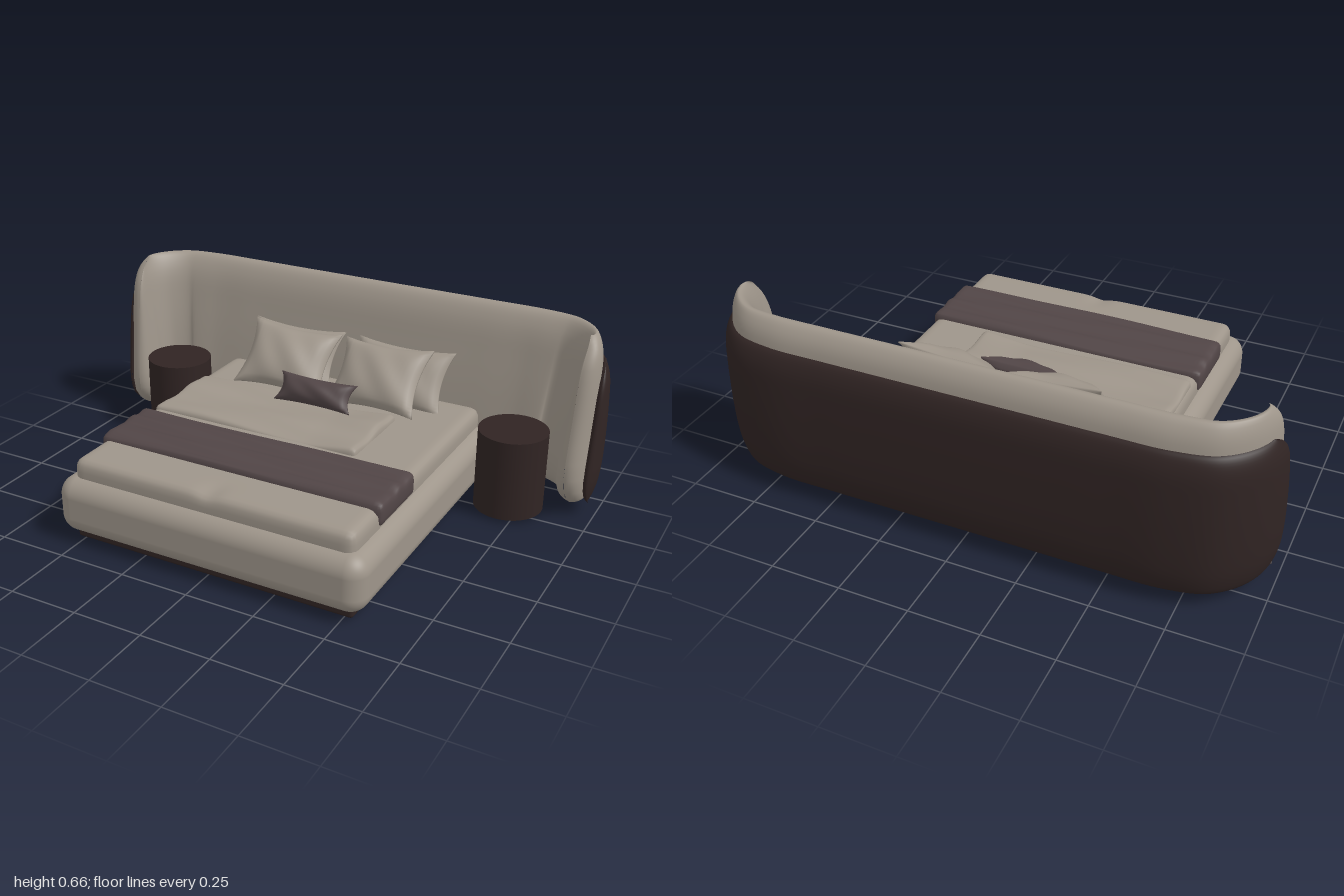
import * as THREE from 'three';
import { mergeVertices } from 'three/addons/utils/BufferGeometryUtils.js';
import { RoundedBoxGeometry } from 'three/addons/geometries/RoundedBoxGeometry.js';

const material = (name, color, side = THREE.FrontSide) => {
  const m = new THREE.MeshStandardMaterial({ color, side });
  m.name = name;
  return m;
};

// Weld coincident vertices so the whole surface shades smoothly
function smooth(geometry) {
  geometry.deleteAttribute('uv');
  geometry.deleteAttribute('normal');
  const g = mergeVertices(geometry, 1e-5);
  g.computeVertexNormals();
  return g;
}

// Rounded cushion-like slab whose upper surface follows a wrinkle rule
function softSlab(w, h, d, r, wrinkle) {
  const g = new THREE.BoxGeometry(w, h, d, 64, 6, 48);
  const p = g.attributes.position;
  const v = new THREE.Vector3(), core = new THREE.Vector3();
  const lim = new THREE.Vector3(w / 2 - r, h / 2 - r, d / 2 - r);
  for (let i = 0; i < p.count; i++) {
    v.fromBufferAttribute(p, i);
    core.copy(v).clamp(lim.clone().negate(), lim);
    v.sub(core).setLength(r).add(core);
    if (v.y > 0) v.y += wrinkle(v.x, v.z) * (v.y / (h / 2));
    p.setXYZ(i, v.x, v.y, v.z);
  }
  return smooth(g);
}

// Inflated pillow with hollow edges and pointed corners
function pillowGeometry(w, h, puff) {
  const g = new THREE.BoxGeometry(2, 2, 2, 20, 20, 1);
  const p = g.attributes.position;
  for (let i = 0; i < p.count; i++) {
    const u = p.getX(i), v = p.getY(i), a = 1 - u * u, b = 1 - v * v;
    const crease = 1 + 0.07 * Math.sin(7 * u + 4 * v);
    p.setXYZ(i,
      u * (1 - 0.13 * b) * w / 2,
      v * (1 - 0.13 * a) * h / 2,
      p.getZ(i) * (0.003 + puff * Math.pow(Math.max(a * b, 0), 0.55) * crease));
  }
  return smooth(g);
}

// Plan line of the headboard's back, from one wing tip to the other
const halfPlan = [[0.3, -0.675], [0.5, -0.675], [0.7, -0.671], [0.85, -0.632], [0.955, -0.53], [1, -0.4], [0.985, -0.25]];
const plan = new THREE.CatmullRomCurve3([
  ...halfPlan.map(([x, z]) => new THREE.Vector3(-x, 0, z)).reverse(),
  new THREE.Vector3(0, 0, -0.675),
  ...halfPlan.map(([x, z]) => new THREE.Vector3(x, 0, z)),
]);
plan.arcLengthDivisions = 600;

// Sweep a closed (depth, height) section along the plan line with rounded, slanted wing ends
function wrap(section, { inset, slant, round, arm }) {
  const loop = new THREE.CatmullRomCurve3(section.map(([d, y]) => new THREE.Vector3(d, y, 0)), true, 'centripetal')
    .getPoints(56).slice(0, -1);
  const ys = loop.map(q => q.y), ds = loop.map(q => q.x);
  const y0 = Math.min(...ys), y1 = Math.max(...ys), d0 = Math.min(...ds);
  const mid = (Math.max(...ds) - d0) * arm / 2 + d0;
  const half = plan.getLength() / 2, N = 110, M = loop.length;
  const pos = [], idx = [];
  for (let i = 0; i <= N; i++) {
    const u = Math.sin((i / N - 0.5) * Math.PI), k = Math.abs(u);
    const thin = 1 - (1 - arm) * THREE.MathUtils.smoothstep(k, 0.55, 1);
    const cap = Math.sqrt(Math.max(0, 1 - Math.pow(k, 36)));
    for (const q of loop) {
      const v = (q.y - y0) / (y1 - y0);
      const cut = inset + slant * v + round * Math.pow(Math.abs(2 * v - 1), 6);
      const t = THREE.MathUtils.clamp(0.5 + 0.5 * u * (1 - cut / half), 0, 1);
      const c = plan.getPointAt(t), T = plan.getTangentAt(t);
      const d = mid + (d0 + (q.x - d0) * thin - mid) * cap;
      pos.push(c.x - T.z * d, q.y, c.z + T.x * d);
    }
  }
  for (let i = 0; i < N; i++) for (let j = 0; j < M; j++) {
    const a = i * M + j, c = i * M + (j + 1) % M;
    idx.push(a, c, a + M, c, c + M, a + M);
  }
  const g = new THREE.BufferGeometry();
  g.setAttribute('position', new THREE.Float32BufferAttribute(pos, 3));
  g.setIndex(idx);
  return smooth(g);
}

export function createModel() {
  const group = new THREE.Group();
  const fabric = material('warm grey fabric', 0x9e958a);
  const dark = material('dark brown leather', 0x302423);
  const plum = material('plum brown cloth', 0x514546);
  const add = (name, geometry, mat, x = 0, y = 0, z = 0, rx = 0, ry = 0) => {
    const m = new THREE.Mesh(geometry, mat);
    m.name = name;
    m.position.set(x, y, z);
    m.rotation.set(rx, ry, 0);
    group.add(m);
    return m;
  };

  // Base, upholstered frame and mattress
  add('plinth', new RoundedBoxGeometry(1.06, 0.05, 1.09, 3, 0.012), dark, 0, 0.025, 0.075);
  add('bedFrame', new RoundedBoxGeometry(1.16, 0.205, 1.12, 8, 0.065), fabric, 0, 0.1325, 0.11);
  add('mattress', softSlab(1.06, 0.13, 1.06, 0.035, (x, z) =>
    -0.012 * Math.exp(-(x * x) / 0.0015) * THREE.MathUtils.smoothstep(z, 0.4, 0.53)), fabric, 0, 0.235, 0.09);

  // Rumpled cover and runner across the bed
  add('bedCover', softSlab(0.82, 0.05, 0.34, 0.018, (x, z) =>
    0.005 * Math.sin(22 * z + 7 * x) + 0.003 * Math.sin(41 * z - 9 * x)
    + 0.012 * THREE.MathUtils.smoothstep(x, 0.2, 0.4)), fabric, -0.11, 0.286, -0.02);
  add('bedRunner', softSlab(1.08, 0.085, 0.27, 0.025, (x, z) =>
    0.0035 * Math.sin(60 * z + 5 * x) + 0.002 * Math.sin(95 * z - 8 * x + 1)), plum, 0, 0.277, 0.315);

  // Headboard: padded inside and leather shell around the back
  add('headboardPadding', wrap([
    [0.04, 0.07], [0.035, 0.3], [0.037, 0.55], [0.052, 0.625], [0.085, 0.663], [0.115, 0.655],
    [0.15, 0.6], [0.18, 0.48], [0.215, 0.3], [0.235, 0.14], [0.22, 0.065], [0.17, 0.045], [0.08, 0.045],
  ], { inset: 0, slant: 0.08, round: 0.1, arm: 0.55 }), fabric);
  add('headboardShell', wrap([
    [0.05, 0.045], [0.03, 0.055], [0.01, 0.11], [0, 0.2], [0, 0.42], [0.008, 0.52],
    [0.028, 0.566], [0.045, 0.574], [0.05, 0.55], [0.05, 0.3], [0.052, 0.08],
  ], { inset: 0.05, slant: 0.08, round: 0.08, arm: 1 }), dark);

  // Pillows and nightstands, mirrored left and right
  const backPillow = pillowGeometry(0.39, 0.25, 0.05);
  const frontPillow = pillowGeometry(0.36, 0.27, 0.055);
  const drum = new THREE.CylinderGeometry(0.125, 0.125, 0.3, 64);
  for (const [side, s] of [['left', 1], ['right', -1]]) {
    add(side + 'BackPillow', backPillow, fabric, s * 0.225, 0.385, -0.37, -0.6);
    add(side + 'FrontPillow', frontPillow, fabric, s * 0.19, 0.415, -0.265, -0.76, s * -0.06);
    add(side + 'Nightstand', drum, dark, s * 0.705, 0.16, -0.295);
  }
  add('lumbarPillow', pillowGeometry(0.31, 0.11, 0.042), plum, 0, 0.365, -0.13, -0.65);

  return group;
}
